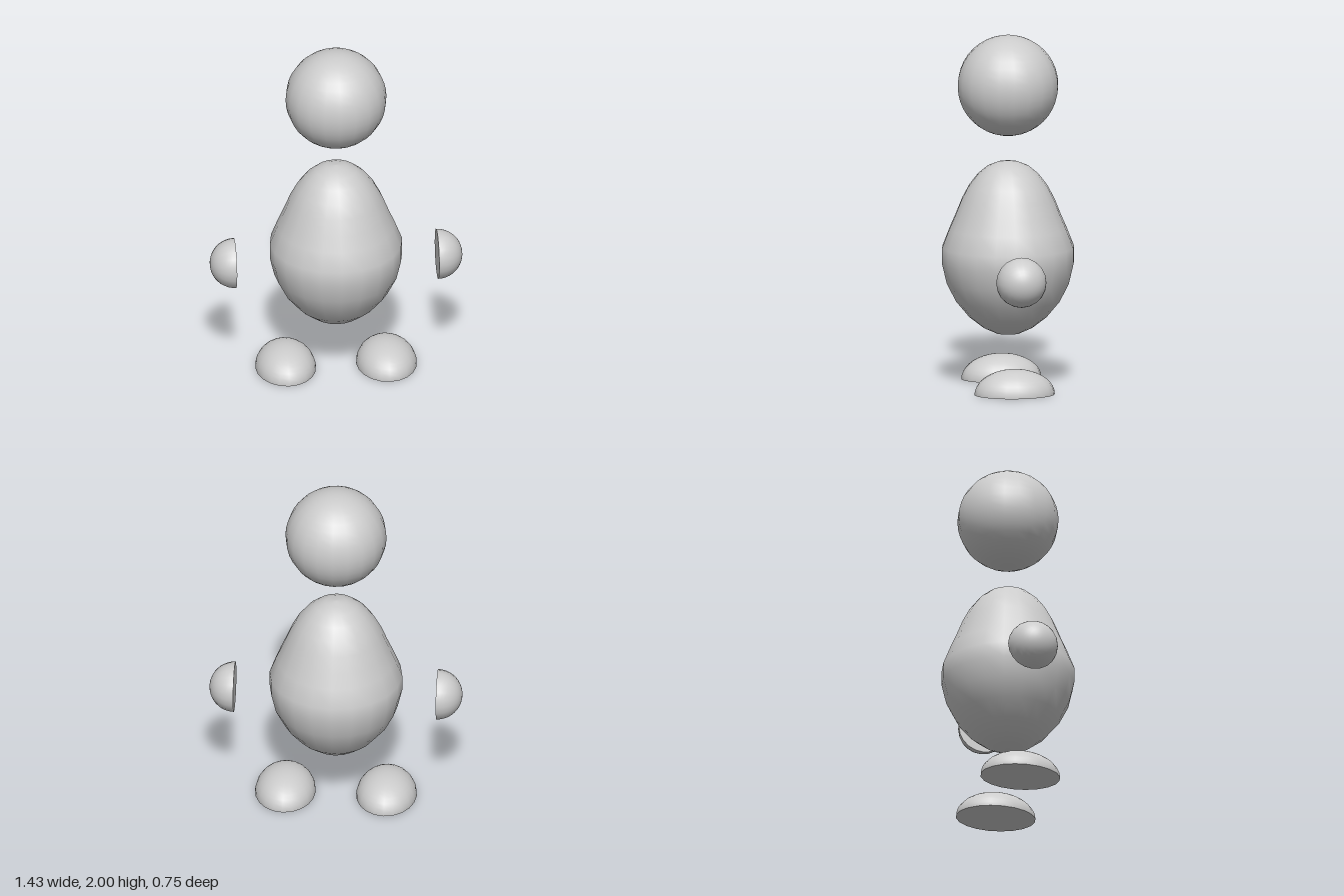
import * as THREE from 'three';

const material = new THREE.MeshStandardMaterial({ color: 0xcccccc });
const SIDES = 20;

function addMesh(parent, geometry, name) {
  const mesh = new THREE.Mesh(geometry, material);
  mesh.name = name;
  parent.add(mesh);
  return mesh;
}

// Unit dome rising along +y, closed by a flat disc
function makeDome(name) {
  const dome = new THREE.Group();
  dome.name = name;
  addMesh(dome, new THREE.SphereGeometry(1, SIDES, 10, 0, Math.PI * 2, 0, Math.PI / 2), name + 'Shell');
  addMesh(dome, new THREE.CircleGeometry(1, SIDES).rotateX(Math.PI / 2), name + 'Cap');
  return dome;
}

export function createModel() {
  const model = new THREE.Group();
  model.name = 'figure';

  // Round head floating above the body
  const head = addMesh(model, new THREE.SphereGeometry(0.285, SIDES, 20), 'head');
  head.position.y = 1.715;

  // Pear-shaped body: [radius, height] from bottom to top
  const profile = [
    [0, 0.297], [0.07, 0.306], [0.14, 0.338], [0.22, 0.4], [0.295, 0.49],
    [0.348, 0.594], [0.374, 0.705], [0.374, 0.795], [0.333, 0.9], [0.298, 0.98],
    [0.262, 1.07], [0.222, 1.145], [0.172, 1.21], [0.118, 1.255], [0.06, 1.279], [0, 1.286],
  ].map(([r, y]) => new THREE.Vector2(r, y));
  addMesh(model, new THREE.LatheGeometry(profile, SIDES), 'body');

  for (const [side, label] of [[1, 'left'], [-1, 'right']]) {
    // Half-ball hand, flat side facing the body
    const hand = makeDome(label + 'Hand');
    hand.scale.setScalar(0.142);
    hand.rotation.z = -side * Math.PI / 2;
    hand.position.set(side * 0.571, 0.683, 0);

    // Oval foot resting flat on the ground
    const foot = makeDome(label + 'Foot');
    foot.scale.set(0.171, 0.143, 0.228);
    foot.position.set(side * 0.285, 0, 0);

    model.add(hand, foot);
  }
  return model;
}
